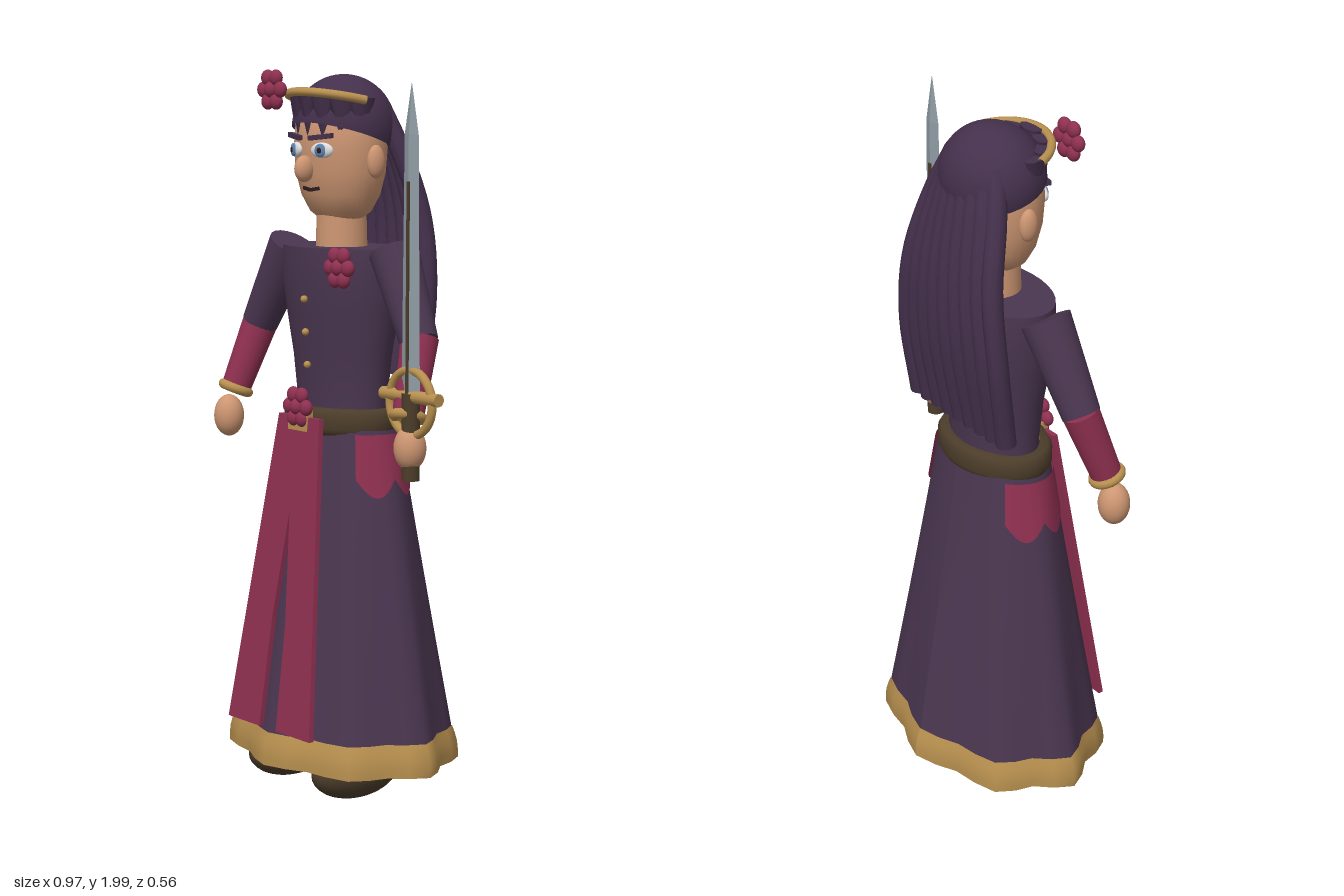
import * as THREE from 'three';

const mat = (name, color, side = THREE.FrontSide) => {
  const m = new THREE.MeshStandardMaterial({ color, side });
  m.name = name;
  return m;
};

export function createModel() {
  const D = THREE.DoubleSide;
  const M = {
    dress: mat('plumCloth', 0x4a3650, D),
    hair: mat('darkHair', 0x44304c, D),
    red: mat('crimsonCloth', 0x8f3050, D),
    gold: mat('gold', 0xb8904f),
    brown: mat('brownLeather', 0x4c3d2a),
    skin: mat('skin', 0xcd9672),
    steel: mat('steel', 0x8f9ca4),
    white: mat('eyeWhite', 0xdcdcdc),
    blue: mat('irisBlue', 0x5f83ad),
    dark: mat('darkDetail', 0x2a1c1c),
  };
  const V = (x, y, z) => new THREE.Vector3(x, y, z);
  const root = new THREE.Group();
  const body = new THREE.Group();
  body.name = 'figure';
  body.position.x = -0.04;
  root.add(body);

  const add = (name, geo, material, x = 0, y = 0, z = 0, parent = body) => {
    const m = new THREE.Mesh(geo, material);
    m.name = name;
    m.position.set(x, y, z);
    parent.add(m);
    return m;
  };
  const ball = (name, material, rx, ry, rz, x, y, z, parent) =>
    add(name, new THREE.SphereGeometry(1, 24, 16).scale(rx, ry, rz), material, x, y, z, parent);
  const lathe = (name, material, pts, depth, z = 0) =>
    add(name, new THREE.LatheGeometry(pts.map(p => new THREE.Vector2(...p)), 32).scale(1, 1, depth), material, 0, 0, z);
  const limb = (name, material, a, b, ra, rb) => {
    const geo = new THREE.CylinderGeometry(rb, ra, a.distanceTo(b), 20);
    const m = add(name, geo, material);
    m.position.copy(a).lerp(b, 0.5);
    m.quaternion.setFromUnitVectors(V(0, 1, 0), b.clone().sub(a).normalize());
    return m;
  };

  // Skirt: an elliptical cone whose eight folds deepen toward the hem
  const skirtPoint = (a, y, off) => {
    const t = (1.02 - y) / 0.92, f = 1 + 0.06 * t * Math.cos(8 * a);
    return V(Math.sin(a) * ((0.2 + 0.16 * t) * f + off), y, Math.cos(a) * ((0.125 + 0.135 * t) * f + off));
  };
  const skirtBand = (name, material, a0, a1, low, high, off, nu, nv) => {
    const geo = new THREE.PlaneGeometry(1, 1, nu, nv), p = geo.attributes.position;
    for (let i = 0; i < p.count; i++) {
      const u = p.getX(i) + 0.5, v = p.getY(i) + 0.5;
      const q = skirtPoint(a0 + (a1 - a0) * u, low(u) + (high - low(u)) * v, off(v));
      p.setXYZ(i, q.x, q.y, q.z);
    }
    geo.computeVertexNormals();
    return add(name, geo, material);
  };
  skirtBand('skirt', M.dress, -Math.PI, Math.PI, () => 0.105, 1.03, () => 0, 32, 10);
  skirtBand('hem', M.gold, -Math.PI, Math.PI, () => 0.1, 0.19, v => 0.002 + 0.006 * Math.sin(Math.PI * v), 32, 4);
  const rim = [];
  for (let i = 0; i < 32; i++) {
    const q = skirtPoint(i * Math.PI / 16, 0.1, 0.002);
    rim.push(new THREE.Vector2(q.x, q.z));
  }
  add('skirtUnderside', new THREE.ShapeGeometry(new THREE.Shape(rim)).rotateX(Math.PI / 2), M.dress, 0, 0.102, 0);

  // Hip flaps, each with two points
  for (const s of [-1, 1]) {
    const mid = s * Math.PI / 2;
    skirtBand('hipFlap', M.red, mid - 0.68, mid + 0.68,
      u => 0.9 - 0.05 * Math.abs(Math.sin(u * Math.PI * 2)), 1.02, () => 0.007, 16, 4);
  }

  // Split front panel, sloped to lie on the skirt
  const panel = new THREE.Shape([[-0.09, 1.06], [-0.185, 0.2], [-0.04, 0.2], [-0.03, 0.5], [0, 0.8],
    [0.03, 0.5], [0.035, 0.2], [0.185, 0.2], [0.09, 1.06]].map(p => new THREE.Vector2(...p)));
  const panelGeo = new THREE.ExtrudeGeometry(panel, { depth: 0.015, bevelEnabled: false });
  const pp = panelGeo.attributes.position;
  for (let i = 0; i < pp.count; i++) {
    pp.setZ(i, pp.getZ(i) + 0.136 + 0.111 * (1.06 - pp.getY(i)) / 0.86);
  }
  panelGeo.computeVertexNormals();
  add('frontPanel', panelGeo, M.red);

  // Feet
  for (const s of [-1, 1]) ball('shoe', M.brown, 0.075, 0.08, 0.145, s * 0.145, 0.085, 0.068);

  // Torso, belt, buckle and buttons
  lathe('torso', M.dress, [[0.158, 1.03], [0.16, 1.12], [0.172, 1.22], [0.195, 1.34], [0.212, 1.45],
    [0.208, 1.52], [0.208, 1.52], [0, 1.52]], 0.62);
  lathe('belt', M.brown, [[0.15, 1.01], [0.178, 1.012], [0.19, 1.03], [0.19, 1.065], [0.178, 1.083], [0.15, 1.085]], 0.71, 0.003);
  add('buckle', new THREE.BoxGeometry(0.085, 0.06, 0.02), M.gold, 0, 1.05, 0.146);
  for (const y of [1.2, 1.29, 1.38]) ball('button', M.gold, 0.01, 0.01, 0.01, 0, y, y < 1.25 ? 0.122 : y < 1.33 ? 0.128 : 0.132);

  // Flowers: six petals around a centre
  const flower = (x, y, z) => {
    const g = new THREE.Group();
    g.name = 'flower';
    g.position.set(x, y, z);
    body.add(g);
    ball('flowerCentre', M.red, 0.022, 0.022, 0.019, 0, 0, 0.003, g);
    for (let i = 0; i < 6; i++) {
      const a = i * Math.PI / 3;
      ball('petal', M.red, 0.022, 0.022, 0.016, 0.037 * Math.cos(a), 0.037 * Math.sin(a), 0, g);
    }
  };
  flower(-0.12, 1.943, 0.148);
  flower(0.17, 1.475, 0.145);
  flower(0, 1.087, 0.155);

  // Neck, head and face
  add('neck', new THREE.CylinderGeometry(0.068, 0.072, 0.15, 24), M.skin, 0, 1.565, 0.002);
  lathe('head', M.skin, [[0, 1.585], [0.06, 1.59], [0.095, 1.615], [0.122, 1.66], [0.139, 1.72], [0.145, 1.79],
    [0.14, 1.86], [0.105, 1.93], [0, 1.96]], 0.8, 0.005);
  ball('nose', M.skin, 0.022, 0.036, 0.03, 0, 1.732, 0.13);
  for (const s of [-1, 1]) {
    ball('ear', M.skin, 0.02, 0.045, 0.027, s * 0.146, 1.752, 0);
    const eye = new THREE.Group();
    eye.name = 'eye';
    eye.position.set(s * 0.056, 1.782, 0.113);
    eye.rotation.y = s * 0.3;
    body.add(eye);
    ball('eyeWhite', M.white, 0.036, 0.021, 0.012, 0, 0, 0, eye);
    ball('iris', M.blue, 0.018, 0.018, 0.006, 0, 0, 0.009, eye);
    ball('pupil', M.dark, 0.008, 0.008, 0.004, 0, 0, 0.013, eye);
    const brow = add('eyebrow', new THREE.BoxGeometry(0.075, 0.013, 0.014), M.hair, s * 0.056, 1.818, 0.118);
    brow.rotation.set(0, s * 0.3, s * 0.1);
    const lip = add('mouth', new THREE.BoxGeometry(0.036, 0.009, 0.01), M.dark, s * 0.015, 1.677, 0.107);
    lip.rotation.set(0, s * 0.15, s * 0.15);
  }

  // Hair cap, pointed fringe and long back strands
  const cap = add('hairCap', new THREE.SphereGeometry(1, 32, 20, 0, Math.PI * 2, 0, Math.PI * 0.56), M.hair, 0, 1.84, -0.006);
  cap.geometry.rotateX(-0.3).scale(0.152, 0.145, 0.136);
  for (let i = -3; i <= 3; i++) {
    const a = i * 0.42;
    const lock = add('fringeLock', new THREE.ConeGeometry(0.042, 0.13, 8).rotateX(Math.PI).scale(1, 1, 0.5),
      M.hair, 0.132 * Math.sin(a), 1.88 - 0.008 * Math.abs(i), 0.118 * Math.cos(a));
    lock.rotation.y = a;
  }
  for (let i = -4; i <= 4; i++) {
    const t = i / 4, b = 0.03 * t * t;
    const path = new THREE.CatmullRomCurve3([V(0.09 * t, 1.9, -0.09 + b), V(0.135 * t, 1.78, -0.125 + b),
      V(0.175 * t, 1.6, -0.152 + b * 0.5), V(0.2 * t, 1.4, -0.148 + b * 0.4), V(0.195 * t, 1.165, -0.105)]);
    add('hairStrand', new THREE.TubeGeometry(path, 20, 0.028, 10), M.hair);
    const tip = add('strandEnd', new THREE.CircleGeometry(0.028, 10), M.hair);
    tip.position.copy(path.getPoint(1));
    tip.lookAt(tip.position.clone().add(path.getTangent(1)));
  }

  // Circlet across the brow
  const arc = [];
  for (let i = -4; i <= 4; i++) {
    const a = i * 0.33;
    arc.push(V(0.153 * Math.sin(a), 1.908 + 0.03 * Math.cos(a), 0.142 * Math.cos(a)));
  }
  add('circlet', new THREE.TubeGeometry(new THREE.CatmullRomCurve3(arc), 32, 0.012, 8), M.gold);

  // Arms
  for (const s of [-1, 1]) {
    const shoulder = V(s * 0.222, 1.515, 0), elbow = V(s * 0.352, 1.285, 0.02), wrist = V(s * 0.385, 1.095, 0.085);
    limb('sleeve', M.dress, shoulder, elbow, 0.068, 0.052);
    limb('cuff', M.red, elbow.clone().lerp(wrist, -0.06), wrist, 0.051, 0.042);
    const ring = add('bracelet', new THREE.TorusGeometry(0.038, 0.014, 10, 24), M.gold);
    ring.position.copy(wrist);
    ring.lookAt(V(-0.04, 0, 0).add(wrist).add(wrist.clone().sub(elbow)));
    ball('hand', M.skin, 0.044, 0.06, 0.043, s * 0.405, 1.015, 0.095);
  }

  // Sword: grip, ring guard with crossbar, tapering diamond blade
  const sword = new THREE.Group();
  sword.name = 'sword';
  sword.position.set(0.41, 0, 0.097);
  body.add(sword);
  add('grip', new THREE.CylinderGeometry(0.024, 0.024, 0.23, 16), M.brown, 0, 1.045, 0, sword);
  add('guardRing', new THREE.TorusGeometry(0.086, 0.012, 10, 32), M.gold, 0, 1.135, 0, sword);
  add('crossbar', new THREE.CylinderGeometry(0.017, 0.017, 0.226, 14).rotateZ(Math.PI / 2), M.gold, 0, 1.152, 0, sword);
  M.steel.flatShading = true;
  const bladePart = (top, bottom, y0, y1) =>
    add('blade', new THREE.CylinderGeometry(top, bottom, y1 - y0, 4).scale(1, 1, 0.35), M.steel, 0, (y0 + y1) / 2, 0, sword);
  bladePart(0.028, 0.037, 1.15, 1.83);
  bladePart(0.001, 0.028, 1.83, 1.96);
  for (const s of [-1, 1]) {
    const groove = add('bladeGroove', new THREE.BoxGeometry(0.009, 0.55, 0.006), M.brown, 0, 1.435, s * 0.0112, sword);
    groove.rotation.x = -s * 0.004;
  }
  return root;
}
